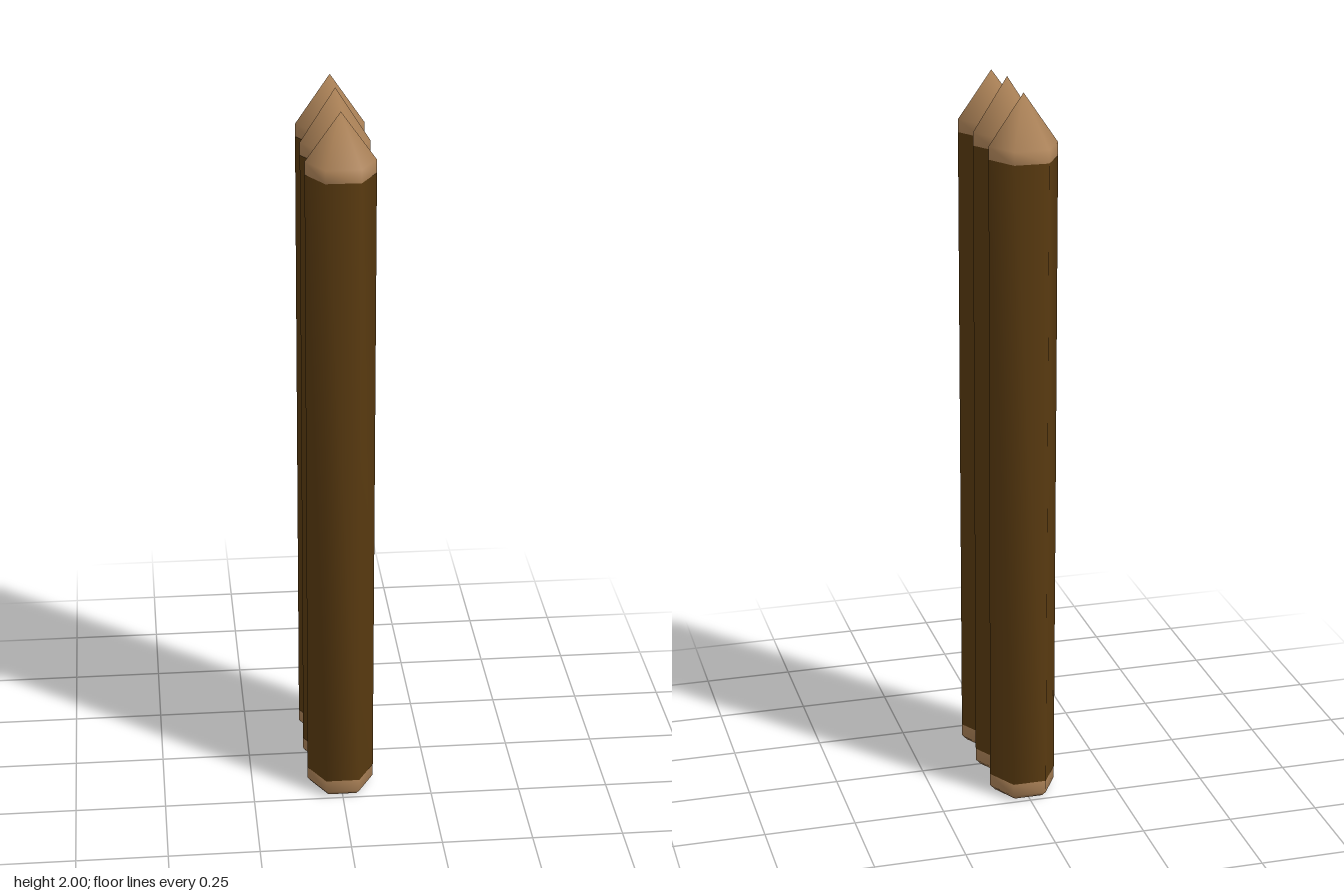
import * as THREE from 'three';
import { mergeGeometries, mergeVertices } from 'three/addons/utils/BufferGeometryUtils.js';

const R = 0.093;                    // hexagon corner radius
const STEP = R * Math.sqrt(3);      // posts touch along their flat sides
const POSTS = [
  { z: -STEP, tip: 1.99 },
  { z: 0, tip: 2.0 },
  { z: STEP, tip: 1.985 },
];

// Six-sided sections for all posts, welded so the row shades as one smooth surface
function postSections(profile) {
  const parts = POSTS.map(({ z, tip }) => {
    const points = profile(tip).map(([r, y]) => new THREE.Vector2(r, y));
    const geo = new THREE.LatheGeometry(points, 6, Math.PI / 2);
    geo.translate(0, 0, z);
    geo.deleteAttribute('normal');
    geo.deleteAttribute('uv');
    return geo;
  });
  const merged = mergeVertices(mergeGeometries(parts), 1e-4);
  merged.computeVertexNormals();
  return merged;
}

export function createModel() {
  const group = new THREE.Group();
  group.name = 'palisade';

  const bark = new THREE.MeshStandardMaterial({ color: 0x593a10 });
  bark.name = 'dark bark';
  const wood = new THREE.MeshStandardMaterial({ color: 0xad8358 });
  wood.name = 'bare wood';

  const add = (name, material, profile) => {
    const mesh = new THREE.Mesh(postSections(profile), material);
    mesh.name = name;
    group.add(mesh);
  };

  // Bevelled feet
  add('postFeet', wood, () => [[0, 0.005], [R * 0.85, 0.005], [R, 0.02], [R, 0.055]]);
  // Long bark-covered shafts
  add('postShafts', bark, () => [[R, 0.055], [R, 1.82]]);
  // Sharpened tips
  add('postTips', wood, (tip) => [[R, 1.82], [R, 1.855], [0, tip]]);

  return group;
}
